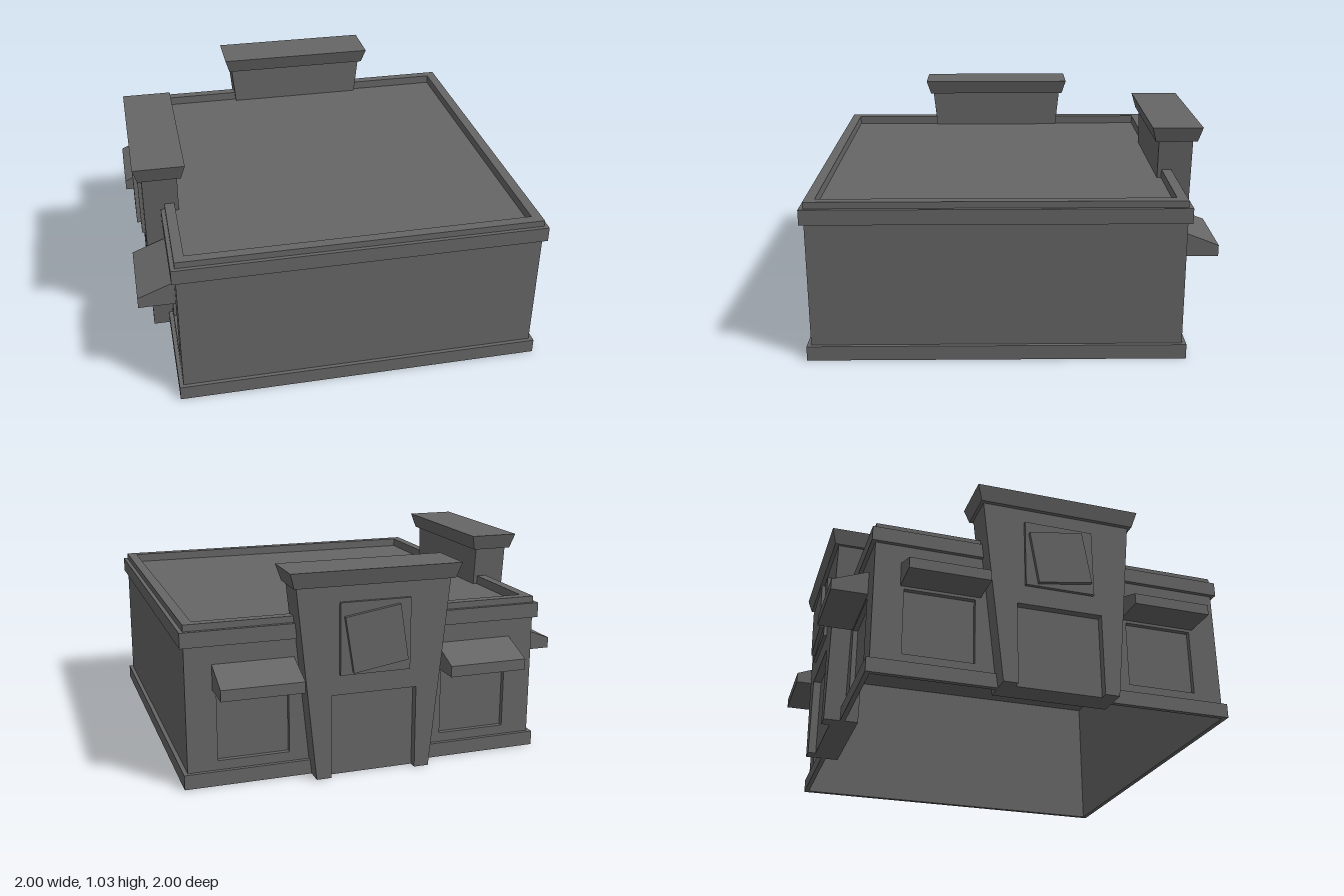
import * as THREE from 'three';

const darkGrey = new THREE.MeshStandardMaterial({ color: 0x666666, flatShading: true, side: THREE.DoubleSide });
const WALL = 0.9; // distance from the building centre to a wall face

function add(parent, name, geometry) {
  const mesh = new THREE.Mesh(geometry, darkGrey);
  mesh.name = name;
  parent.add(mesh);
  return mesh;
}

const polygon = (pts) => new THREE.Shape(pts.map(([x, y]) => new THREE.Vector2(x, y)));
const rect = (x0, y0, x1, y1) => polygon([[x0, y0], [x1, y0], [x1, y1], [x0, y1]]);

// Upright outline given thickness from z0 to z1
function slab(shape, z0, z1) {
  return new THREE.ExtrudeGeometry(shape, { depth: z1 - z0, bevelEnabled: false }).translate(0, 0, z0);
}

// Square horizontal ring between two heights
function ring(outer, inner, y0, y1) {
  const shape = rect(-outer, -outer, outer, outer);
  shape.holes.push(rect(-inner, -inner, inner, inner));
  return slab(shape, y0, y1).rotateX(-Math.PI / 2);
}

// Thin wall facing +z, with optional window openings
const windowCentres = [-0.575, 0.575];
const opening = (u) => rect(u - 0.177, 0.12, u + 0.177, 0.46);
function wall(hasWindows) {
  const shape = rect(-WALL, 0, WALL, 0.76);
  if (hasWindows) shape.holes.push(...windowCentres.map(opening));
  return slab(shape, WALL - 0.005, WALL);
}

// Flared cap: a box whose lower corners are drawn inwards
function capGeometry() {
  const g = new THREE.BoxGeometry(0.856, 0.078, 0.256);
  const p = g.attributes.position;
  for (let i = 0; i < p.count; i++) {
    if (p.getY(i) < 0) p.setXYZ(i, p.getX(i) * 0.945, p.getY(i), p.getZ(i) * 0.83);
  }
  g.computeVertexNormals();
  return g.translate(0, 0.994, 0.917);
}

// Entrance tower, widening upwards, with a door recess and a sign
function entranceTower() {
  const tower = new THREE.Group();
  tower.name = 'entranceTower';
  add(tower, 'towerBody', slab(polygon([
    [-0.292, 0], [-0.218, 0], [-0.218, 0.42], [0.218, 0.42],
    [0.218, 0], [0.292, 0], [0.389, 0.956], [-0.389, 0.956],
  ]), 0.829, 1.003));
  add(tower, 'door', slab(rect(-0.218, 0, 0.218, 0.42), 0.829, 0.962));
  add(tower, 'towerCap', capGeometry());
  add(tower, 'signFrame', new THREE.BoxGeometry(0.355, 0.355, 0.03)).position.set(0, 0.698, 1.005);
  const sign = add(tower, 'tiltedSign', new THREE.BoxGeometry(0.28, 0.28, 0.03));
  sign.position.set(0, 0.692, 1.025);
  sign.rotation.z = THREE.MathUtils.degToRad(9);
  return tower;
}

// Recessed window with a sloping awning above it
function windowBay(u) {
  const bay = new THREE.Group();
  bay.name = 'windowBay';
  bay.position.x = u;
  const surround = rect(-0.182, 0.115, 0.182, 0.465);
  surround.holes.push(opening(0));
  add(bay, 'windowSurround', slab(surround, WALL - 0.025, WALL - 0.005));
  add(bay, 'windowPane', slab(rect(-0.182, 0.115, 0.182, 0.465), WALL - 0.03, WALL - 0.025));
  const profile = polygon([[WALL - 0.005, 0.475], [1.08, 0.475], [1.08, 0.53], [WALL - 0.005, 0.602]]);
  add(bay, 'awning', slab(profile, -0.2, 0.2).rotateY(-Math.PI / 2)).position.x = Math.sign(u) * 0.57 - u;
  return bay;
}

export function createModel() {
  const model = new THREE.Group();
  model.name = 'cornerShop';
  const building = new THREE.Group();
  building.name = 'building';
  building.position.set(0.08, 0, 0.08);
  model.add(building);

  // Four sides; the back and the -x side carry the shop fronts
  for (let i = 0; i < 4; i++) {
    const shopFront = i >= 2;
    const side = new THREE.Group();
    side.name = shopFront ? 'shopFront' : 'plainSide';
    side.rotation.y = (i * Math.PI) / 2;
    add(side, 'wall', wall(shopFront));
    if (shopFront) {
      side.add(entranceTower());
      windowCentres.forEach((u) => side.add(windowBay(u)));
    }
    building.add(side);
  }

  // Trims, parapet and sunken roof; the underside is open
  add(building, 'baseTrim', ring(0.92, 0.898, 0, 0.073));
  add(building, 'upperTrim', ring(0.92, 0.898, 0.693, 0.768));
  add(building, 'parapet', ring(WALL, 0.85, 0.752, 0.8));
  add(building, 'roof', new THREE.BoxGeometry(1.79, 0.006, 1.79)).position.y = 0.752;

  return model;
}
